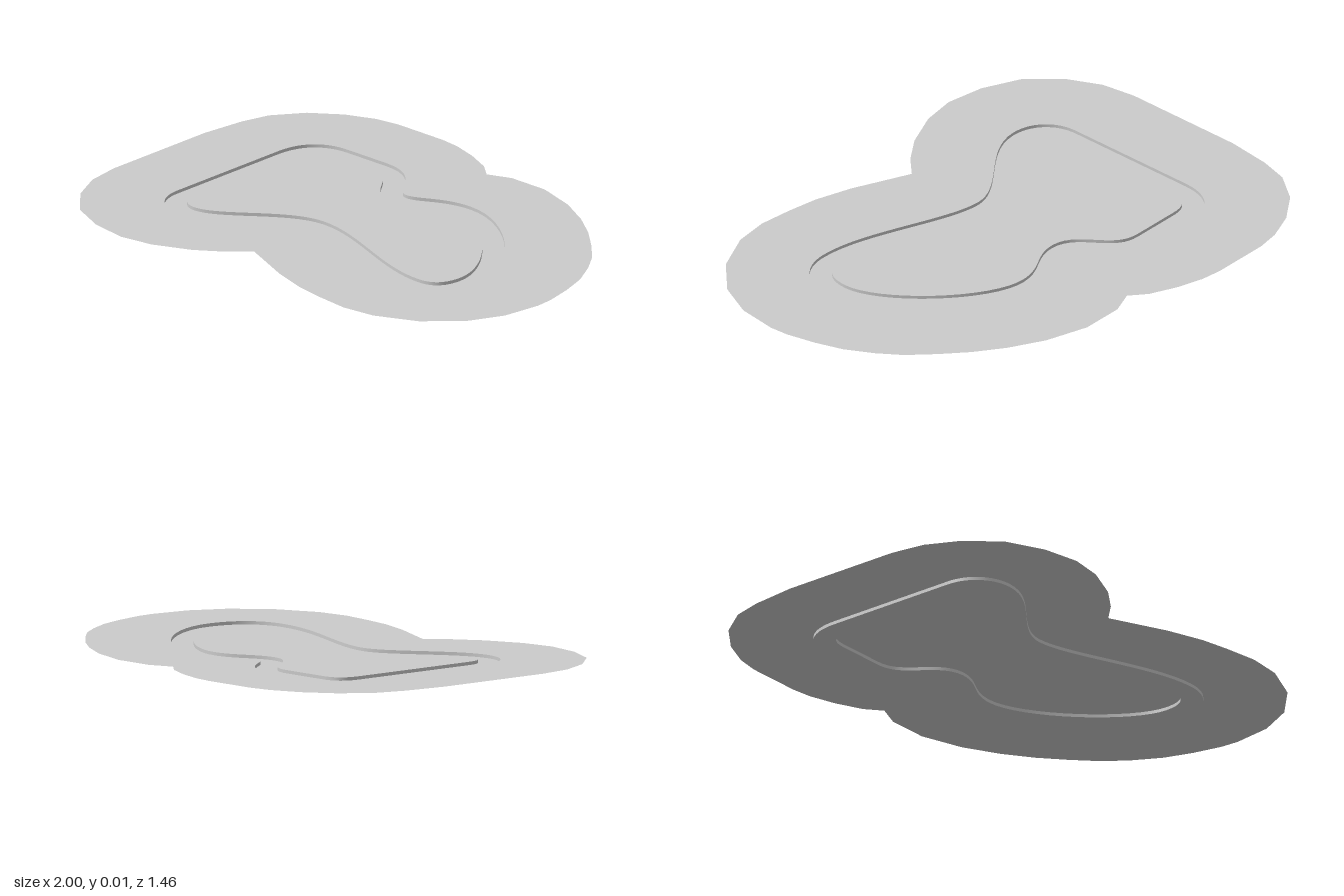
import * as THREE from 'three';

const HEIGHT = 0.012;      // ground level above the sunken track
const HALF_WIDTH = 0.04;   // half the track width

// Plan coordinates are (x, z); shapes use y = -z so they lie face up once turned.
const OUTLINE = [
  [-1, -0.2], [-0.98, -0.37], [-0.95, -0.48], [-0.87, -0.59], [-0.76, -0.67], [-0.65, -0.715],
  [-0.56, -0.73], [-0.34, -0.73], [-0.26, -0.72], [-0.16, -0.69], [-0.06, -0.645], [0, -0.595],
  [0.09, -0.63], [0.25, -0.63], [0.41, -0.58], [0.54, -0.51], [0.645, -0.435], [0.735, -0.355],
  [0.82, -0.27], [0.88, -0.185], [0.935, -0.085], [0.97, 0.02], [0.995, 0.13], [1, 0.2],
  [0.98, 0.35], [0.915, 0.485], [0.795, 0.6], [0.64, 0.67], [0.51, 0.685], [0.38, 0.67],
  [0.265, 0.65], [0.125, 0.605], [-0.09, 0.51], [-0.16, 0.58], [-0.26, 0.65], [-0.4, 0.71],
  [-0.53, 0.73], [-0.675, 0.705], [-0.815, 0.64], [-0.92, 0.525], [-0.98, 0.4], [-1, 0.27],
];

// Closed centre line of the circuit, clockwise from above
function centreLine() {
  const path = new THREE.Path();
  const curve = (a, b, c, d, e, f) => path.bezierCurveTo(a, -b, c, -d, e, -f);
  path.moveTo(-0.65, 0.25);
  curve(-0.65, -0.34, -0.61, -0.39, -0.52, -0.39);   // back right corner
  path.lineTo(-0.33, 0.39);
  curve(-0.17, -0.39, -0.17, -0.215, -0.07, -0.215); // back neck
  curve(0.01, -0.215, 0.05, -0.29, 0.17, -0.29);
  curve(0.36, -0.29, 0.655, 0.01, 0.655, 0.19);      // long sweep
  curve(0.655, 0.29, 0.605, 0.345, 0.515, 0.345);
  curve(0.315, 0.345, 0.06, 0.17, -0.11, 0.17);      // front neck
  curve(-0.26, 0.17, -0.395, 0.385, -0.535, 0.385);
  curve(-0.6, 0.385, -0.65, 0.34, -0.65, 0.27);      // front right corner
  path.lineTo(-0.65, 0.25);
  return path.getPoints(16).slice(0, -1).filter((p, i, all) => i === 0 || p.distanceTo(all[i - 1]) > 1e-5
  ).slice(0, -0 || undefined);
}

// Moves a closed clockwise loop sideways; positive is outwards
function offsetLoop(points, distance) {
  const n = points.length;
  return points.map((p, i) => {
    const t = points[(i + 1) % n].clone().sub(points[(i + n - 1) % n]).normalize();
    return new THREE.Vector2(p.x - t.y * distance, p.y + t.x * distance);
  });
}

// Upright band along a loop, from y = 0 to ground level
function wallGeometry(loop, facesOut) {
  const n = loop.length;
  const position = [];
  const index = [];
  loop.forEach((p, i) => {
    position.push(p.x, 0, -p.y, p.x, HEIGHT, -p.y);
    const a = 2 * i;
    const b = 2 * ((i + 1) % n);
    if (facesOut) index.push(a, a + 1, b + 1, a, b + 1, b);
    else index.push(a, b + 1, a + 1, a, b, b + 1);
  });
  const geometry = new THREE.BufferGeometry();
  geometry.setAttribute('position', new THREE.Float32BufferAttribute(position, 3));
  geometry.setIndex(index);
  geometry.computeVertexNormals();
  return geometry;
}

// Flat sheet at a given height, with an optional hole
function sheetGeometry(loop, hole, y) {
  const shape = new THREE.Shape(loop);
  if (hole) shape.holes.push(new THREE.Path(hole));
  return new THREE.ShapeGeometry(shape).rotateX(-Math.PI / 2).translate(0, y, 0);
}

export function createModel() {
  const group = new THREE.Group();
  group.name = 'raceCircuit';
  const material = new THREE.MeshStandardMaterial({ color: 0xcccccc, side: THREE.DoubleSide });
  const add = (name, geometry) => {
    const mesh = new THREE.Mesh(geometry, material);
    mesh.name = name;
    group.add(mesh);
  };

  const centre = centreLine();
  const outer = offsetLoop(centre, HALF_WIDTH);
  const inner = offsetLoop(centre, -HALF_WIDTH);
  const outline = OUTLINE.map(([x, z]) => new THREE.Vector2(x, -z));

  add('outerGround', sheetGeometry(outline, outer, HEIGHT));
  add('trackSurface', sheetGeometry(outer, inner, 0));
  add('infield', sheetGeometry(inner, null, HEIGHT));
  add('outerWall', wallGeometry(outer, false));
  add('innerWall', wallGeometry(inner, true));
  return group;
}
